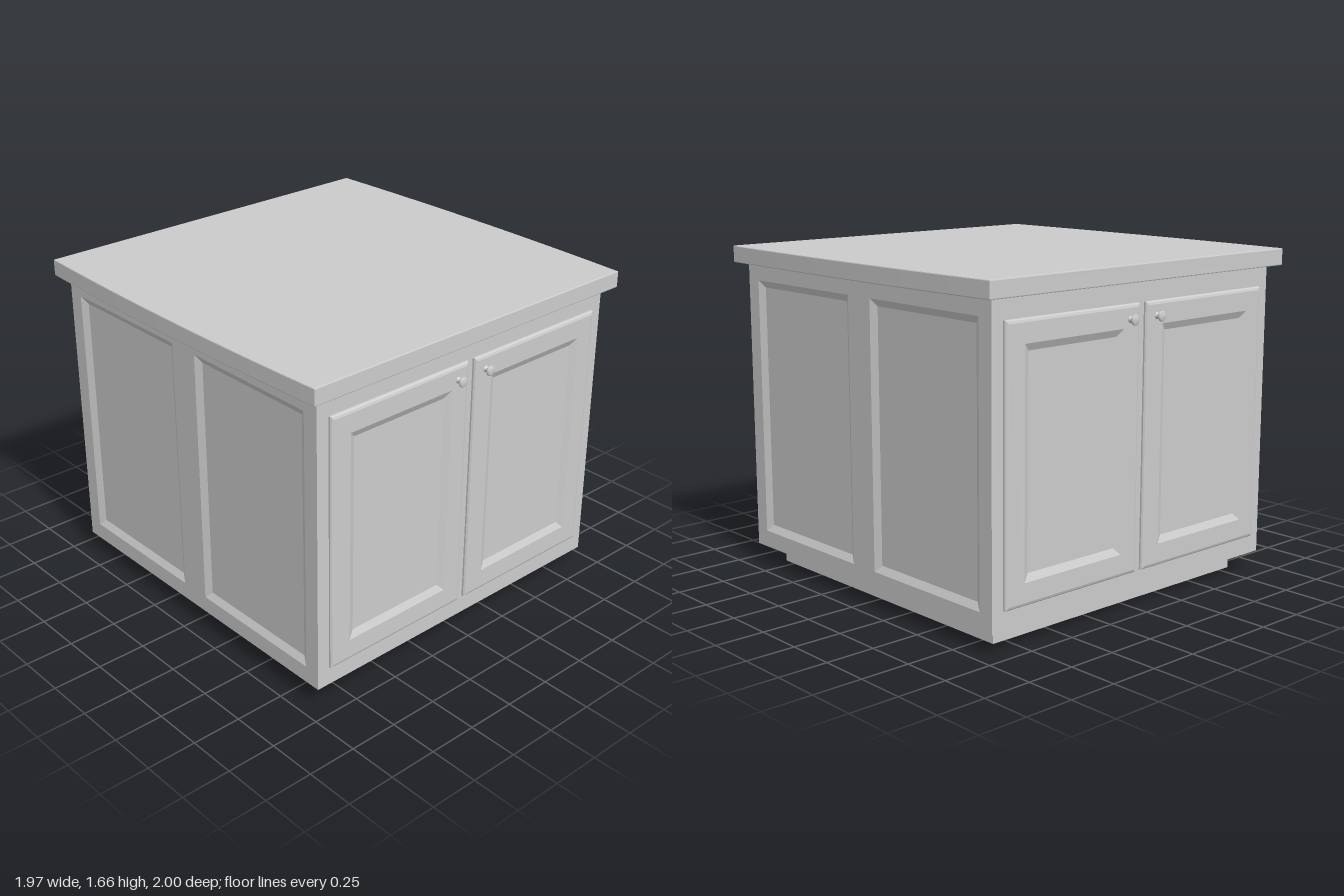
import * as THREE from 'three';

const material = new THREE.MeshStandardMaterial({ color: 0xcccccc });

function addMesh(parent, name, geometry, x = 0, y = 0, z = 0) {
  const mesh = new THREE.Mesh(geometry, material);
  mesh.name = name;
  mesh.position.set(x, y, z);
  parent.add(mesh);
  return mesh;
}

// Lofts through rectangles [width, height, z], closing the last one with a flat cap
function loftRects(rects) {
  const pos = [];
  const loops = rects.map(([w, h, z]) =>
    [[-1, -1], [1, -1], [1, 1], [-1, 1]].map(([sx, sy]) => [sx * w / 2, sy * h / 2, z]));
  const quad = (a, b, c, d) => pos.push(...a, ...b, ...c, ...a, ...c, ...d);
  for (let i = 0; i + 1 < loops.length; i++) {
    for (let k = 0; k < 4; k++) {
      const n = (k + 1) % 4;
      quad(loops[i][k], loops[i][n], loops[i + 1][n], loops[i + 1][k]);
    }
  }
  quad(...loops[loops.length - 1]);
  const geometry = new THREE.BufferGeometry();
  geometry.setAttribute('position', new THREE.Float32BufferAttribute(pos, 3));
  geometry.computeVertexNormals();
  return geometry;
}

function rectPath(path, cx, cy, w, h) {
  path.moveTo(cx - w / 2, cy - h / 2);
  path.lineTo(cx + w / 2, cy - h / 2);
  path.lineTo(cx + w / 2, cy + h / 2);
  path.lineTo(cx - w / 2, cy + h / 2);
  path.closePath();
  return path;
}

// Panelled wall: a frame with two openings and a sunken panel in each
function createPanelWall() {
  const wall = new THREE.Group();
  const panelX = 0.463, panelY = 0.838, w = 0.76, h = 1.315, depth = 0.02;
  const frame = rectPath(new THREE.Shape(), 0, 0.8375, 1.85, 1.485);
  for (const s of [-1, 1]) frame.holes.push(rectPath(new THREE.Path(), s * panelX, panelY, w, h));
  addMesh(wall, 'wallFrame', new THREE.ExtrudeGeometry(frame, { depth: 0.03, bevelEnabled: false }), 0, 0, 0.89);
  for (const s of [-1, 1]) {
    const panel = loftRects([[w, h, 0], [w - 0.07, h - 0.07, -depth]]);
    addMesh(wall, 'sunkenPanel', panel, s * panelX, panelY, 0.92);
  }
  return wall;
}

// Pair of doors with sunken centres and knobs
function createDoorPair() {
  const pair = new THREE.Group();
  const w = 0.833, h = 1.29;
  const door = loftRects([
    [w, h, 0], [w, h, 0.009], [w - 0.012, h - 0.012, 0.016], [w - 0.034, h - 0.034, 0.02],
    [0.615, 1.07, 0.02], [0.545, 1.0, 0.002],
  ]);
  const knob = new THREE.LatheGeometry([
    [0.016, 0], [0.016, 0.004], [0.01, 0.008], [0.009, 0.02], [0.022, 0.024],
    [0.025, 0.028], [0.025, 0.034], [0.02, 0.039], [0, 0.041],
  ].map(([r, y]) => new THREE.Vector2(r, y)), 20);
  knob.rotateX(Math.PI / 2);
  for (const s of [-1, 1]) {
    addMesh(pair, 'door', door, s * 0.437, 0.835, 0.925);
    addMesh(pair, 'knob', knob, s * 0.09, 1.41, 0.945);
  }
  return pair;
}

// Worktop with gently bowed front and back edges
function createWorktop() {
  const bevel = 0.005, x = 0.977 - bevel, z = 0.975 - bevel, bow = 1.021 - bevel;
  const shape = new THREE.Shape();
  shape.moveTo(-x, -z);
  shape.quadraticCurveTo(0, -bow, x, -z);
  shape.lineTo(x, z);
  shape.quadraticCurveTo(0, bow, -x, z);
  shape.closePath();
  const geometry = new THREE.ExtrudeGeometry(shape, {
    depth: 0.085 - 2 * bevel, bevelThickness: bevel, bevelSize: bevel, bevelSegments: 2, curveSegments: 24,
  });
  geometry.rotateX(-Math.PI / 2);
  geometry.translate(0, 1.58 + bevel, 0);
  return geometry;
}

export function createModel() {
  const model = new THREE.Group();
  model.name = 'kitchenIsland';

  addMesh(model, 'plinth', new THREE.BoxGeometry(1.64, 0.1, 1.64), 0, 0.05, 0);
  addMesh(model, 'cabinetBody', new THREE.BoxGeometry(1.85, 1.485, 1.78), 0, 0.8375, 0);
  addMesh(model, 'worktop', createWorktop());

  // Panelled walls front and back, doors on both sides
  for (const s of [0, 1]) {
    const wall = createPanelWall();
    wall.name = s ? 'backWall' : 'frontWall';
    wall.rotation.y = s * Math.PI;
    const doors = createDoorPair();
    doors.name = s ? 'rightDoors' : 'leftDoors';
    doors.rotation.y = Math.PI / 2 + s * Math.PI;
    model.add(wall, doors);
  }
  return model;
}
